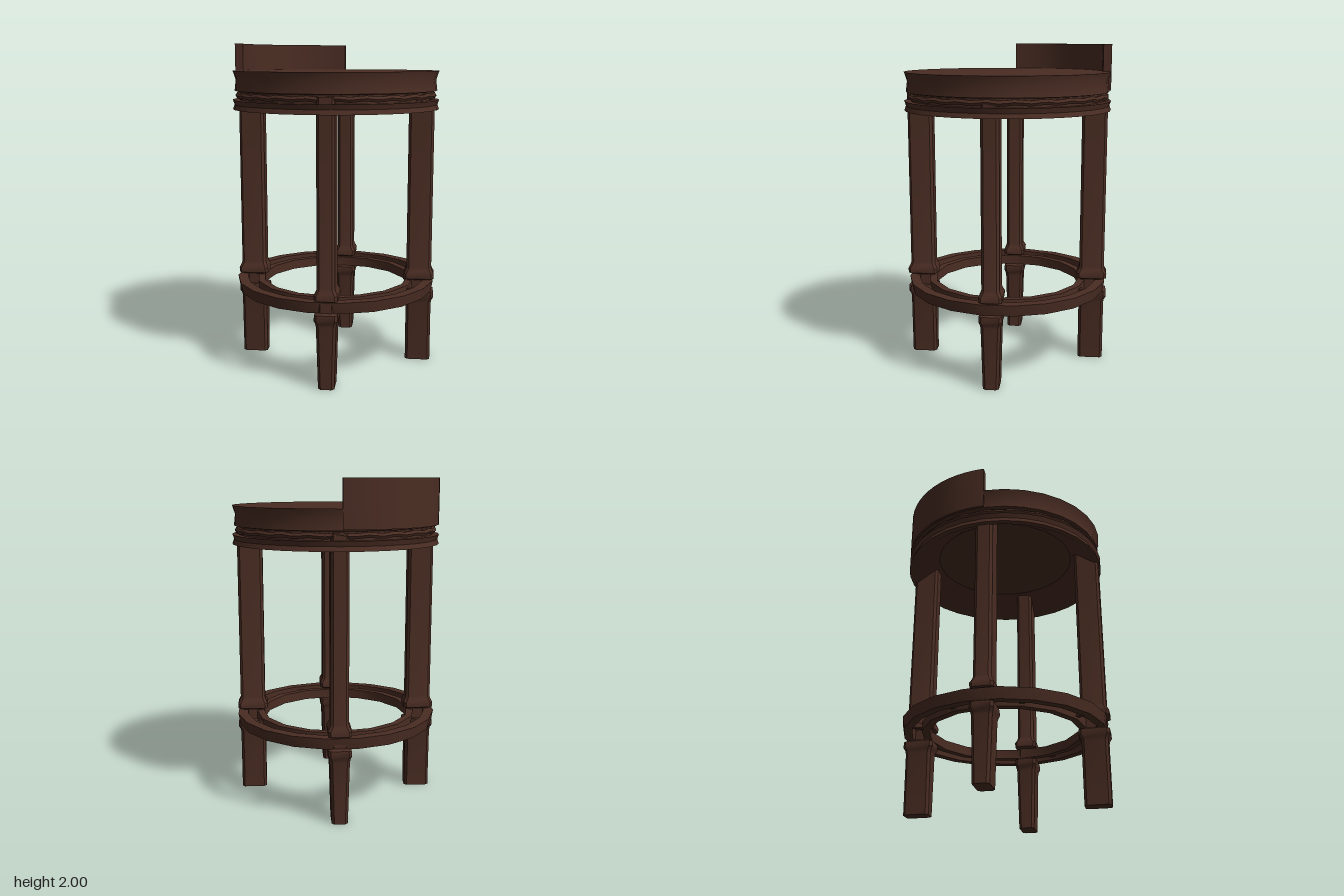
import * as THREE from 'three';
import { toCreasedNormals } from 'three/addons/utils/BufferGeometryUtils.js';

const wood = new THREE.MeshStandardMaterial({ color: 0x4a2d23 });
wood.name = 'dark brown wood';

function part(name, geometry, parent, crease = 0.6) {
  const mesh = new THREE.Mesh(toCreasedNormals(geometry, crease), wood);
  mesh.name = name;
  parent.add(mesh);
  return mesh;
}

// Revolved solid; the profile runs up the outside and down the inside
function turned(profile, sides = 32) {
  return new THREE.LatheGeometry(profile.map(([r, y]) => new THREE.Vector2(r, y)), sides);
}

function band(inner, outerLow, outerHigh, y0, y1, sides) {
  return turned([[inner, y0], [outerLow, y0], [outerHigh, y1], [inner, y1], [inner, y0]], sides);
}

// Chamfered rectangular column through sections [y, half length, half width]
function column(sections) {
  const pos = [], index = [], n = 8, c = 0.016;
  for (const [y, a, b] of sections) {
    const loop = [[a, -b + c], [a, b - c], [a - c, b], [-a + c, b],
      [-a, b - c], [-a, -b + c], [-a + c, -b], [a - c, -b]];
    for (const [x, z] of loop) pos.push(x, y, z);
  }
  for (let i = 0; i < sections.length - 1; i++) {
    for (let j = 0; j < n; j++) {
      const a = i * n + j, b = i * n + (j + 1) % n;
      index.push(a, a + n, b, b, a + n, b + n);
    }
  }
  const top = (sections.length - 1) * n;
  for (let j = 1; j < n - 1; j++) {
    index.push(0, j, j + 1, top, top + j + 1, top + j);
  }
  const g = new THREE.BufferGeometry();
  g.setAttribute('position', new THREE.Float32BufferAttribute(pos, 3));
  g.setIndex(index);
  g.computeVertexNormals();
  return g;
}

export function createModel() {
  const stool = new THREE.Group();
  stool.name = 'barStool';

  // Seat disc, and a lower rim whose hollow underside slopes up to the disc
  part('seat', turned([[0, 1.71], [0.6, 1.71], [0.628, 1.715], [0.62, 1.78], [0.638, 1.835], [0, 1.835]]), stool);
  part('seatRim', turned([[0.44, 1.712], [0.605, 1.602], [0.64, 1.602], [0.63, 1.63], [0.64, 1.66],
    [0.6, 1.66], [0.6, 1.712]]), stool);

  // Lumpy cord between seat and rim
  const cord = new THREE.TorusGeometry(0.605, 0.018, 6, 80);
  cord.rotateX(Math.PI / 2);
  const p = cord.attributes.position;
  for (let i = 0; i < p.count; i++) {
    const a = Math.atan2(p.getZ(i), p.getX(i));
    const k = 1 + 0.008 * Math.sin(a * 40);
    p.setXYZ(i, p.getX(i) * k, p.getY(i) + 0.004 * Math.sin(a * 23), p.getZ(i) * k);
  }
  part('seatCord', cord, stool).position.y = 1.687;

  // Low curved backrest
  const arc = new THREE.Shape();
  const start = Math.PI * 0.25, end = Math.PI - start;
  arc.absarc(0, 0, 0.638, start, end, false);
  arc.absarc(0, 0, 0.587, end, start, true);
  arc.closePath();
  const back = new THREE.ExtrudeGeometry(arc, { depth: 0.28, bevelEnabled: false, curveSegments: 8 });
  back.rotateX(-Math.PI / 2);
  part('backrest', back, stool).position.y = 1.72;

  // Legs: straight shaft, two collars around the foot ring, tapered foot
  const legSections = [
    [0, 0.079, 0.048], [0.38, 0.079, 0.059], [0.4, 0.083, 0.063], [0.42, 0.094, 0.07],
    [0.455, 0.092, 0.068], [0.465, 0.074, 0.05], [0.53, 0.074, 0.05], [0.54, 0.094, 0.068],
    [0.57, 0.094, 0.07], [0.595, 0.082, 0.057], [0.61, 0.078, 0.053], [1.7, 0.078, 0.053],
  ];
  const legs = [
    ['frontLeftLeg', 0.35, 0.407], ['frontRightLeg', -0.382, 0.394],
    ['backLeftLeg', 0.394, -0.374], ['backRightLeg', -0.375, -0.378],
  ];
  for (const [name, x, z] of legs) {
    const leg = part(name, column(legSections), stool);
    leg.position.set(x, 0, z);
    leg.rotation.y = -Math.atan2(Math.sign(z), Math.sign(x));
  }

  // Foot rest: two concentric rings joined by short spokes
  part('footRingOuter', band(0.57, 0.62, 0.632, 0.462, 0.53, 20), stool);
  part('footRingInner', band(0.465, 0.51, 0.51, 0.465, 0.525, 16), stool);
  for (let i = 0; i < 8; i++) {
    const a = (i + 0.5) * Math.PI / 4;
    const spoke = part('footRingSpoke', new THREE.BoxGeometry(0.1, 0.03, 0.03), stool);
    spoke.position.set(0.54 * Math.cos(a), 0.495, 0.54 * Math.sin(a));
    spoke.rotation.y = -a;
  }
  return stool;
}
